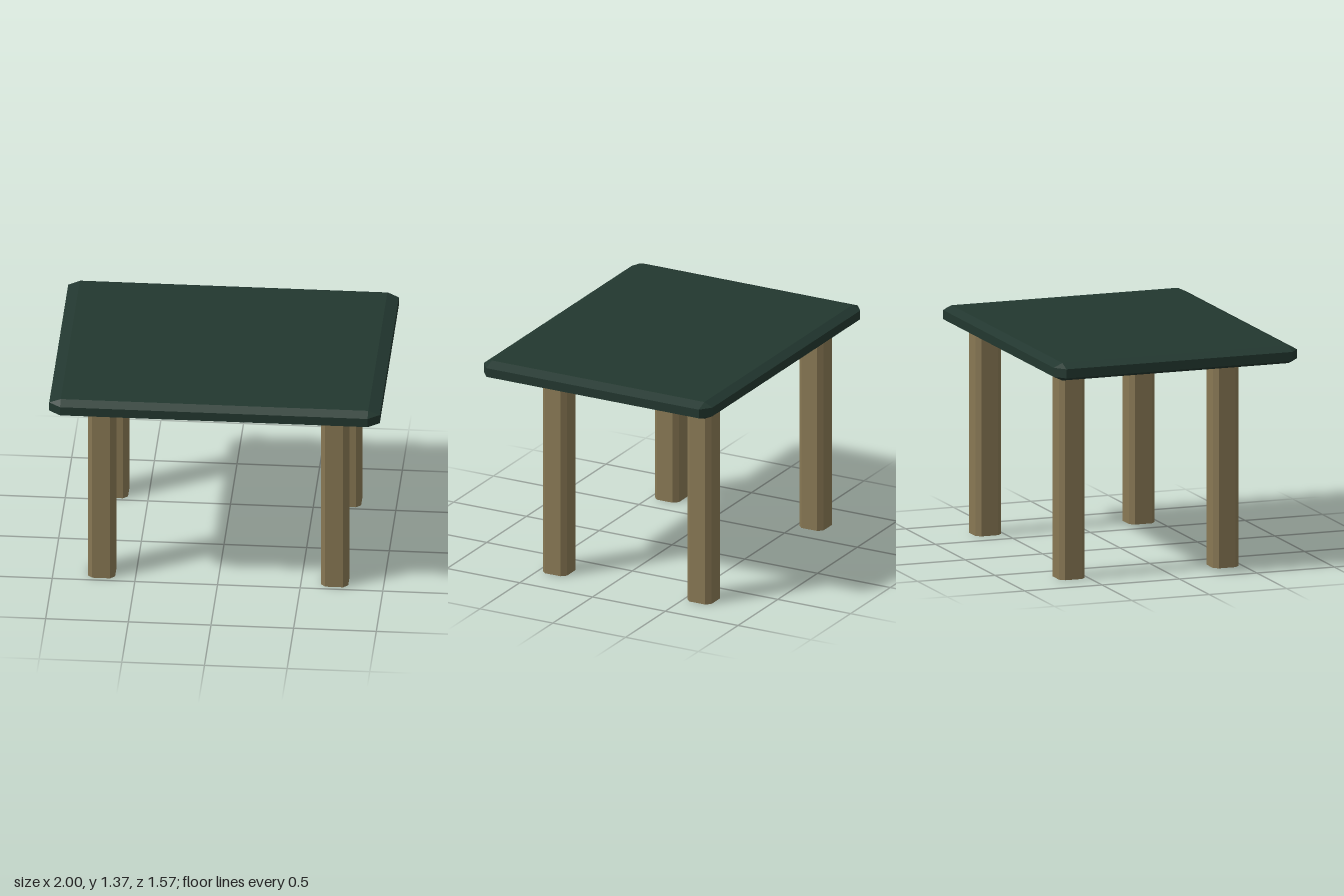
import * as THREE from 'three';
import { ConvexGeometry } from 'three/addons/geometries/ConvexGeometry.js';

// Box with flat bevels on every edge; h = half sizes, b = bevel inset per axis
function beveledBox(h, b) {
  const points = [];
  for (const sx of [-1, 1]) for (const sy of [-1, 1]) for (const sz of [-1, 1]) {
    for (let axis = 0; axis < 3; axis++) {
      const p = h.map((v, i) => (i === axis ? v : v - b[i]));
      points.push(new THREE.Vector3(sx * p[0], sy * p[1], sz * p[2]));
    }
  }
  return new ConvexGeometry(points);
}

// Upright square post with chamfered vertical edges, standing on y = 0
function chamferedPost(half, chamfer, height) {
  const c = half - chamfer;
  const corners = [[half, -c], [half, c], [c, half], [-c, half], [-half, c], [-half, -c], [-c, -half], [c, -half]];
  const shape = new THREE.Shape(corners.map(([x, y]) => new THREE.Vector2(x, y)));
  return new THREE.ExtrudeGeometry(shape, { depth: height, bevelEnabled: false }).rotateX(-Math.PI / 2);
}

export function createModel() {
  const table = new THREE.Group();
  table.name = 'table';
  const green = new THREE.MeshStandardMaterial({ color: 0x22372f, flatShading: true });
  const wood = new THREE.MeshStandardMaterial({ color: 0x887854, flatShading: true });

  // Table top
  const top = new THREE.Mesh(beveledBox([1, 0.054, 0.785], [0.07, 0.026, 0.055]), green);
  top.name = 'tableTop';
  top.position.y = 1.316;
  table.add(top);

  // Four legs, set slightly toward the back
  const legGeometry = chamferedPost(0.0825, 0.028, 1.264);
  for (const [end, z] of [['front', 0.39], ['back', -0.603]]) {
    for (const [side, x] of [['Left', 0.704], ['Right', -0.706]]) {
      const leg = new THREE.Mesh(legGeometry, wood);
      leg.name = `${end}${side}Leg`;
      leg.position.set(x, 0, z);
      table.add(leg);
    }
  }
  return table;
}
